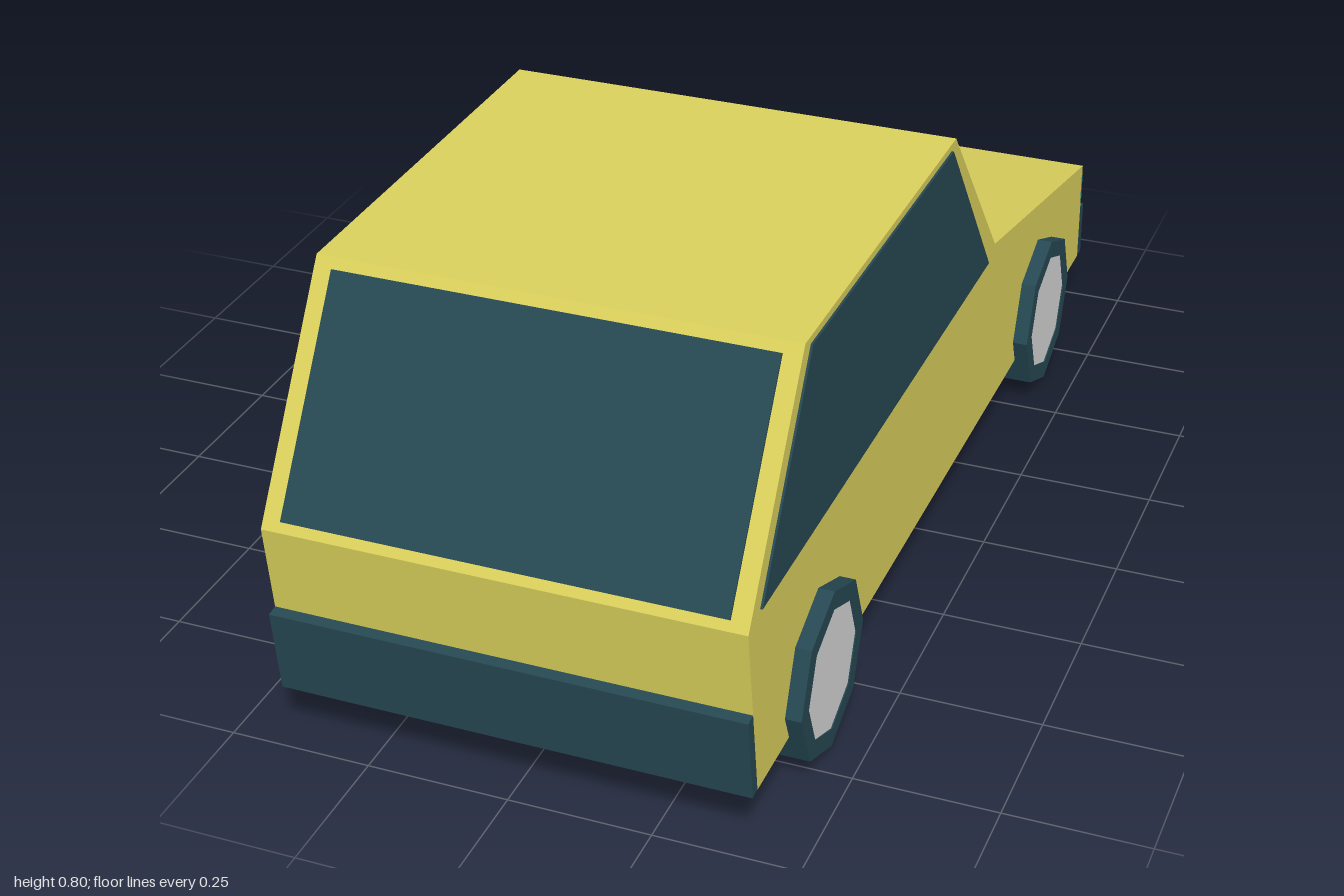
import * as THREE from 'three';

const material = (name, color, side = THREE.FrontSide) => {
  const m = new THREE.MeshStandardMaterial({ color, side });
  m.name = name;
  return m;
};

export function createModel() {
  const yellow = material('yellow paint', 0xdad05c, THREE.DoubleSide);
  const dark = material('dark glass and rubber', 0x264852);
  const silver = material('silver', 0xd6d6d6);
  const cyan = material('cyan lamp', 0x0e95a5);

  const car = new THREE.Group();
  car.name = 'car';
  const HALF = 0.412;

  const add = (parent, name, geometry, mat) => {
    const mesh = new THREE.Mesh(geometry, mat);
    mesh.name = name;
    parent.add(mesh);
    return mesh;
  };

  // Panel spanning x0..x1 along the side-on segment a-b, points given as [z, y]
  const panel = (name, a, b, x0, x1, thick, mat) => {
    const dz = b[0] - a[0], dy = b[1] - a[1];
    const w = x1 - x0, len = Math.hypot(dz, dy);
    const geo = thick ? new THREE.BoxGeometry(w, len, thick) : new THREE.PlaneGeometry(w, len);
    const mesh = add(car, name, geo, mat);
    mesh.position.set((x0 + x1) / 2, (a[1] + b[1]) / 2, (a[0] + b[0]) / 2);
    mesh.rotation.x = Math.atan2(dz, dy);
  };

  // Body shell, open underneath: outline in [z, y]
  const outline = [
    [0.957, 0.11], [1.0, 0.428], [0.76, 0.803], [-0.015, 0.803],
    [-0.305, 0.46], [-0.975, 0.32], [-0.975, 0.11],
  ];
  const panelNames = ['lowerEndPanel', 'windowFrame', 'roof', 'windscreenFrame', 'hood', 'lampPanel'];
  panelNames.forEach((name, i) => panel(name, outline[i], outline[i + 1], -HALF, HALF, 0, yellow));

  const toShape = (pts) => new THREE.Shape(pts.map(([z, y]) => new THREE.Vector2(z, y)));
  const sideGlass = [[0.95, 0.445], [0.735, 0.79], [0.01, 0.79], [-0.255, 0.445]];
  for (const s of [1, -1]) {
    const label = s > 0 ? 'left' : 'right';
    const wall = add(car, label + 'Side', new THREE.ShapeGeometry(toShape(outline)), yellow);
    const glassGeo = new THREE.ExtrudeGeometry(toShape(sideGlass), { depth: 0.008, bevelEnabled: false });
    glassGeo.translate(0, 0, -0.004);
    const glass = add(car, label + 'Window', glassGeo, dark);
    for (const m of [wall, glass]) {
      m.rotation.y = -Math.PI / 2;
      m.position.x = s * HALF;
    }
  }

  // Sloping end windows, inset along their body panels
  const between = (a, b, t) => [a[0] + (b[0] - a[0]) * t, a[1] + (b[1] - a[1]) * t];
  const inset = (i, t0, t1) => [
    between(outline[i], outline[i + 1], t0), between(outline[i], outline[i + 1], t1),
  ];
  panel('hatchWindow', ...inset(1, 0.04, 0.955), -0.38, 0.38, 0.008, dark);
  panel('windscreen', ...inset(3, 0.045, 0.96), -0.39, 0.39, 0.008, dark);

  // Bumpers
  panel('hatchBumper', [0.967, 0.11], [0.988, 0.266], -HALF, HALF, 0.022, dark);
  panel('hoodBumper', [-0.988, 0.11], [-0.988, 0.222], -HALF, HALF, 0.024, dark);

  // Grille and lamps
  const lampLow = [-0.975, 0.242], lampHigh = [-0.975, 0.296];
  panel('grille', lampLow, lampHigh, -0.21, 0.21, 0.008, dark);
  panel('leftLamp', lampLow, lampHigh, 0.21, HALF, 0.008, cyan);
  panel('rightLamp', lampLow, lampHigh, -HALF, -0.21, 0.008, cyan);

  // Eight-sided wheels: rim walls, tread (open on the underside) and hub disc
  const R = 0.153, r = 0.118, W = 0.098;
  const lathe = (pts, start, sides) => new THREE.LatheGeometry(
    pts.map(([x, y]) => new THREE.Vector2(x, y)), sides, start, sides * Math.PI / 4,
  ).rotateZ(-Math.PI / 2).toNonIndexed();
  const rimGeo = lathe([[R, W], [r, W], [r, 0], [R, 0]], 0, 8);
  const treadGeo = lathe([[R, 0], [R, W]], Math.PI * 0.75, 6);
  const hubGeo = new THREE.CircleGeometry(r, 8).rotateY(Math.PI / 2).translate(W - 0.002, 0, 0);
  for (const g of [rimGeo, treadGeo]) g.computeVertexNormals();

  for (const s of [1, -1]) {
    for (const [end, z] of [['Hatch', 0.68], ['Hood', -0.63]]) {
      const wheel = new THREE.Group();
      wheel.name = (s > 0 ? 'left' : 'right') + end + 'Wheel';
      add(wheel, 'tyreWalls', rimGeo, dark);
      add(wheel, 'tread', treadGeo, dark);
      add(wheel, 'hub', hubGeo, silver);
      wheel.position.set(s * 0.342, 0.16, z);
      wheel.rotation.y = s > 0 ? 0 : Math.PI;
      car.add(wheel);
    }
  }
  return car;
}
